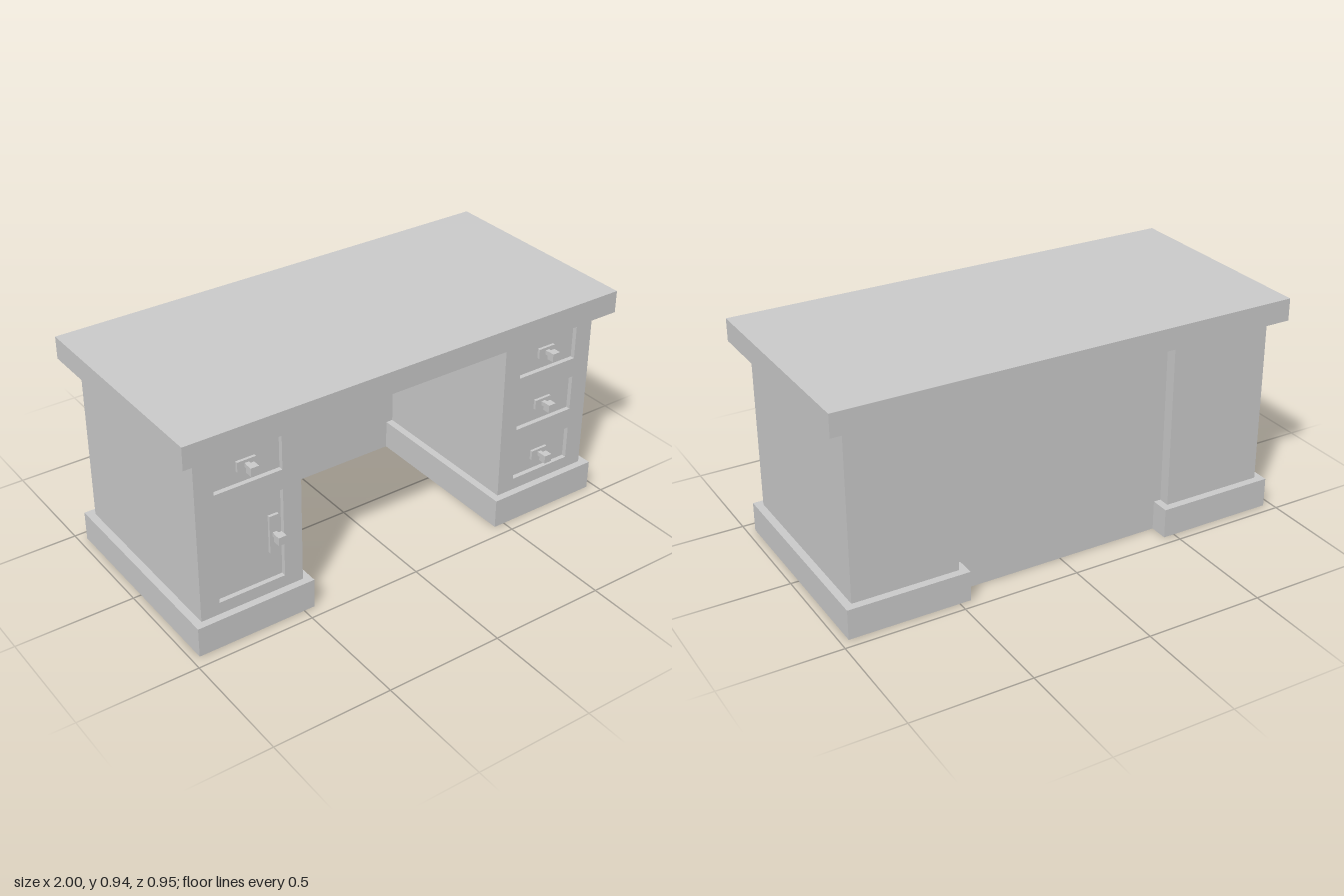
import * as THREE from 'three';

const material = new THREE.MeshStandardMaterial({ color: 0xcccccc });

const FRONT = 0.416;   // pedestal face
const RECESS = 0.396;  // drawer and door panels sit back from the face

// Box given by its min/max extents
function box(name, x0, x1, y0, y1, z0, z1) {
  const mesh = new THREE.Mesh(new THREE.BoxGeometry(x1 - x0, y1 - y0, z1 - z0), material);
  mesh.position.set((x0 + x1) / 2, (y0 + y1) / 2, (z0 + z1) / 2);
  mesh.name = name;
  return mesh;
}

function centredBox(name, x, y, w, h, z0, z1) {
  return box(name, x - w / 2, x + w / 2, y - h / 2, y + h / 2, z0, z1);
}

function trace(path, x0, x1, y0, y1) {
  path.moveTo(x0, y0);
  path.lineTo(x1, y0);
  path.lineTo(x1, y1);
  path.lineTo(x0, y1);
  path.closePath();
  return path;
}

// Back plate, stem and square knob
function handle(name, x, y, plateW, plateH) {
  const g = new THREE.Group();
  g.name = name;
  g.add(
    centredBox('handlePlate', x, y, plateW, plateH, RECESS, RECESS + 0.012),
    centredBox('handleStem', x, y, 0.018, 0.018, RECESS + 0.012, 0.43),
    centredBox('handleKnob', x, y, 0.035, 0.035, 0.43, 0.463)
  );
  return g;
}

// Plinth, carcass and a face frame whose openings show the recessed panels
function pedestal(name, side, openings) {
  const g = new THREE.Group();
  g.name = name;
  const span = (a, b) => (side > 0 ? [a, b] : [-b, -a]);
  const [x0, x1] = span(0.484, 0.933);
  const [p0, p1] = span(0.452, 0.966);
  const [o0, o1] = span(0.564, 0.853);

  g.add(box('plinth', p0, p1, 0, 0.128, -0.457, 0.447));
  g.add(box('carcass', x0, x1, 0.128, 0.85, -0.424, RECESS));

  const face = trace(new THREE.Shape(), x0, x1, 0.128, 0.85);
  for (const [y0, y1] of openings) face.holes.push(trace(new THREE.Path(), o0, o1, y0, y1));
  const frame = new THREE.Mesh(
    new THREE.ExtrudeGeometry(face, { depth: FRONT - RECESS, bevelEnabled: false }), material);
  frame.position.z = RECESS;
  frame.name = 'faceFrame';
  g.add(frame);
  return g;
}

export function createModel() {
  const desk = new THREE.Group();
  desk.name = 'desk';

  desk.add(box('desktop', -1, 1, 0.85, 0.945, -0.474, 0.474));
  desk.add(box('modestyPanel', -0.484, 0.484, 0, 0.85, -0.375, -0.31));

  // Three drawers on the left
  const drawers = pedestal('leftPedestal', 1, [[0.18, 0.327], [0.418, 0.573], [0.659, 0.803]]);
  for (const y of [0.25, 0.495, 0.732]) drawers.add(handle('drawerHandle', 0.708, y, 0.08, 0.042));
  desk.add(drawers);

  // One drawer above a cupboard door on the right
  const cupboard = pedestal('rightPedestal', -1, [[0.18, 0.573], [0.659, 0.803]]);
  cupboard.add(handle('drawerHandle', -0.708, 0.732, 0.08, 0.042));
  cupboard.add(handle('doorHandle', -0.6, 0.384, 0.042, 0.165));
  desk.add(cupboard);

  return desk;
}
